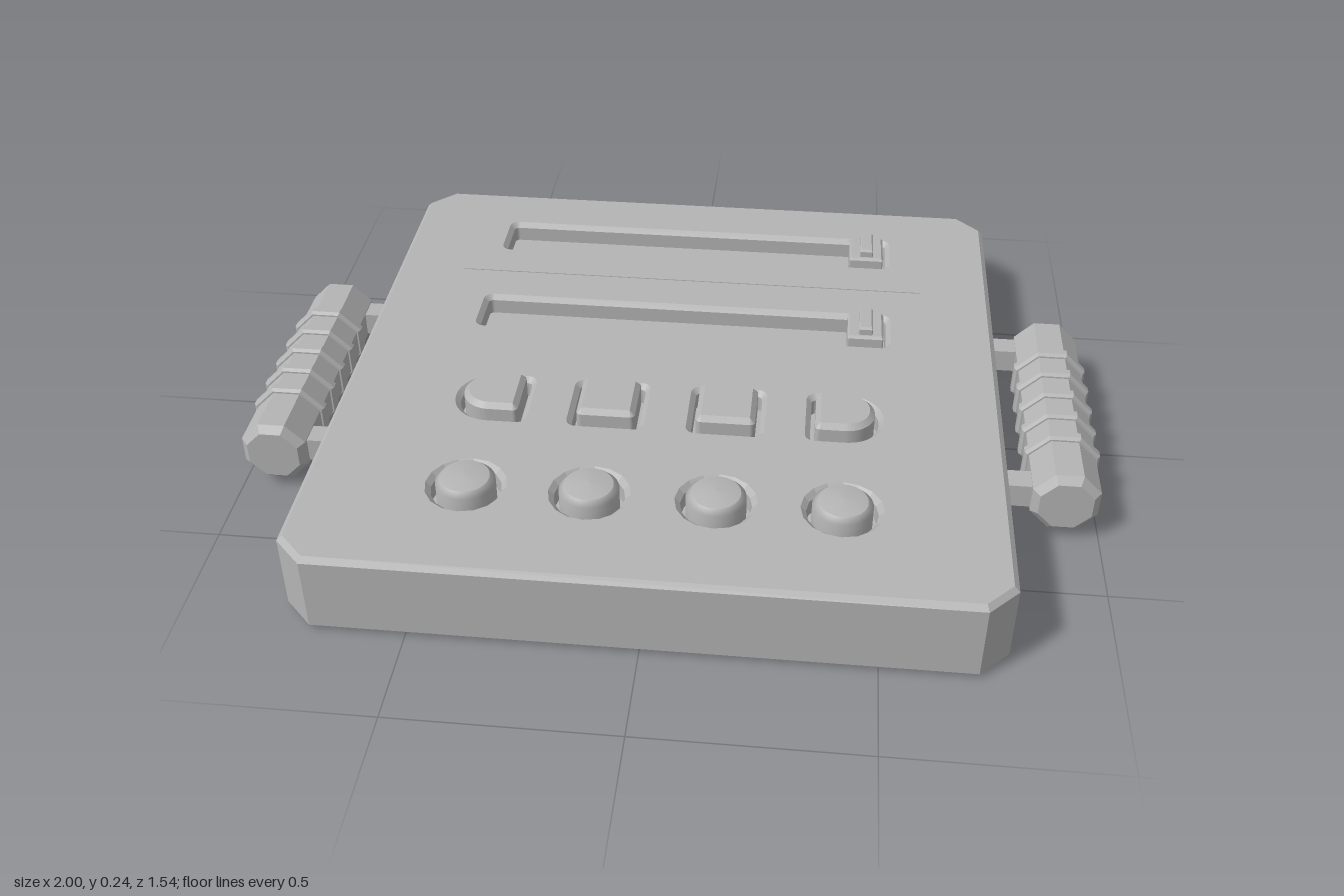
import * as THREE from 'three';

const HEIGHT = 0.2, FLOOR = 0.15, BEVEL = 0.012;

// Rectangle with its own corner radius on the left and right sides
function roundedRect(cx, cz, w, d, rl, rr) {
  const s = new THREE.Shape(), cy = -cz;
  const l = cx - w / 2, r = cx + w / 2, b = cy - d / 2, t = cy + d / 2;
  s.moveTo(l + rl, b);
  s.lineTo(r - rr, b);
  s.absarc(r - rr, b + rr, rr, -Math.PI / 2, 0, false);
  s.lineTo(r, t - rr);
  s.absarc(r - rr, t - rr, rr, 0, Math.PI / 2, false);
  s.lineTo(l + rl, t);
  s.absarc(l + rl, t - rl, rl, Math.PI / 2, Math.PI, false);
  s.lineTo(l, b + rl);
  s.absarc(l + rl, b + rl, rl, Math.PI, Math.PI * 1.5, false);
  return s;
}

// Upright extrusion from y0 to y1 with a chamfer inside the outline
function slab(shape, y0, y1, bevel, curveSegments = 8) {
  const g = new THREE.ExtrudeGeometry(shape, {
    depth: y1 - y0 - 2 * bevel, bevelEnabled: true, bevelSegments: 1,
    bevelSize: bevel, bevelThickness: bevel, bevelOffset: -bevel, curveSegments,
  });
  g.rotateX(-Math.PI / 2);
  g.translate(0, y0 + bevel, 0);
  return g;
}

// Eight-sided turned part lying along z; profile is [flat distance, z]
function octagonTurn(profile) {
  const pts = profile.map(([r, z]) => new THREE.Vector2(r / Math.cos(Math.PI / 8), z));
  const g = new THREE.LatheGeometry(pts, 8, Math.PI / 8).toNonIndexed();
  g.rotateX(Math.PI / 2);
  g.computeVertexNormals();
  return g;
}

export function createModel() {
  const model = new THREE.Group();
  model.name = 'controlPanel';
  const grey = new THREE.MeshStandardMaterial({ color: 0xb4b4b4 });
  grey.name = 'grey';

  const add = (parent, name, geometry, x = 0, y = 0, z = 0) => {
    const m = new THREE.Mesh(geometry, grey);
    m.name = name;
    m.position.set(x, y, z);
    parent.add(m);
    return m;
  };

  const columns = [-0.41, -0.138, 0.138, 0.41];
  const squareZ = 0.18, roundZ = 0.5, slotZ = [-0.55, -0.185];

  // Casing outline with cut corners
  const H = 0.772, C = 0.065;
  const outline = new THREE.Shape([
    [-H + C, -H], [H - C, -H], [H, -H + C], [H, H - C],
    [H - C, H], [-H + C, H], [-H, H - C], [-H, -H + C],
  ].map(([x, y]) => new THREE.Vector2(x, y)));

  // Button outlines: the outer two have a rounded outer side
  const keyShape = (i, x, z, size) => roundedRect(x, z, size, size,
    i === 0 ? size / 2 - 0.001 : 0.012, i === 3 ? size / 2 - 0.001 : 0.012);

  // Recesses in the casing
  columns.forEach((x, i) => {
    outline.holes.push(keyShape(i, x, squareZ, 0.156));
    const round = new THREE.Path();
    round.absarc(x, -roundZ, 0.078, 0, Math.PI * 2, true);
    outline.holes.push(round);
  });
  for (const z of slotZ) outline.holes.push(roundedRect(0, z, 1.012, 0.122, 0.012, 0.012));

  add(model, 'casing', slab(outline, 0, HEIGHT, BEVEL));
  add(model, 'recessFloor', new THREE.BoxGeometry(1.4, FLOOR, 1.4), 0, FLOOR / 2, 0);

  // Buttons
  const dome = [[0.066, FLOOR], [0.066, 0.212], [0.054, 0.224], [0.054, 0.224],
    [0.03, 0.229], [0, 0.231]].map(([r, y]) => new THREE.Vector2(r, y));
  columns.forEach((x, i) => {
    add(model, 'squareButton', slab(keyShape(i, 0, 0, 0.136), FLOOR, 0.228, BEVEL), x, 0, squareZ);
    add(model, 'roundButton', new THREE.LatheGeometry(dome, 32), x, 0, roundZ);
  });

  // Sliders: base block with a raised grip
  for (const z of slotZ) {
    const slider = new THREE.Group();
    slider.name = 'slider';
    slider.position.set(0.455, 0, z);
    add(slider, 'sliderBase', slab(roundedRect(0, 0, 0.088, 0.112, 0.004, 0.004), FLOOR, 0.218, 0.006, 2));
    add(slider, 'sliderGrip', slab(roundedRect(0, 0, 0.034, 0.092, 0.003, 0.003), 0.2, 0.238, 0.005, 2));
    model.add(slider);
  }

  // Fine guide line between the slots
  add(model, 'guideLine', new THREE.BoxGeometry(1.19, 0.002, 0.014), 0, HEIGHT + 0.001, -0.375);

  // Side handles
  const grip = octagonTurn([[0, -0.32], [0.06, -0.32], [0.076, -0.303],
    [0.076, 0.303], [0.06, 0.32], [0, 0.32]]);
  const ring = octagonTurn([[0.07, -0.015], [0.08, -0.015], [0.086, -0.008],
    [0.086, 0.008], [0.08, 0.015], [0.07, 0.015]]);
  for (const side of [1, -1]) {
    const handle = new THREE.Group();
    handle.name = side > 0 ? 'leftHandle' : 'rightHandle';
    handle.position.set(side * 0.914, 0.096, 0);
    add(handle, 'grip', grip);
    for (let i = -2; i <= 2; i++) add(handle, 'gripRing', ring, 0, 0, i * 0.083);
    for (const z of [-0.265, 0.265]) {
      add(handle, 'bracket', new THREE.BoxGeometry(0.16, 0.058, 0.056), -side * 0.1, 0, z);
    }
    model.add(handle);
  }
  return model;
}
